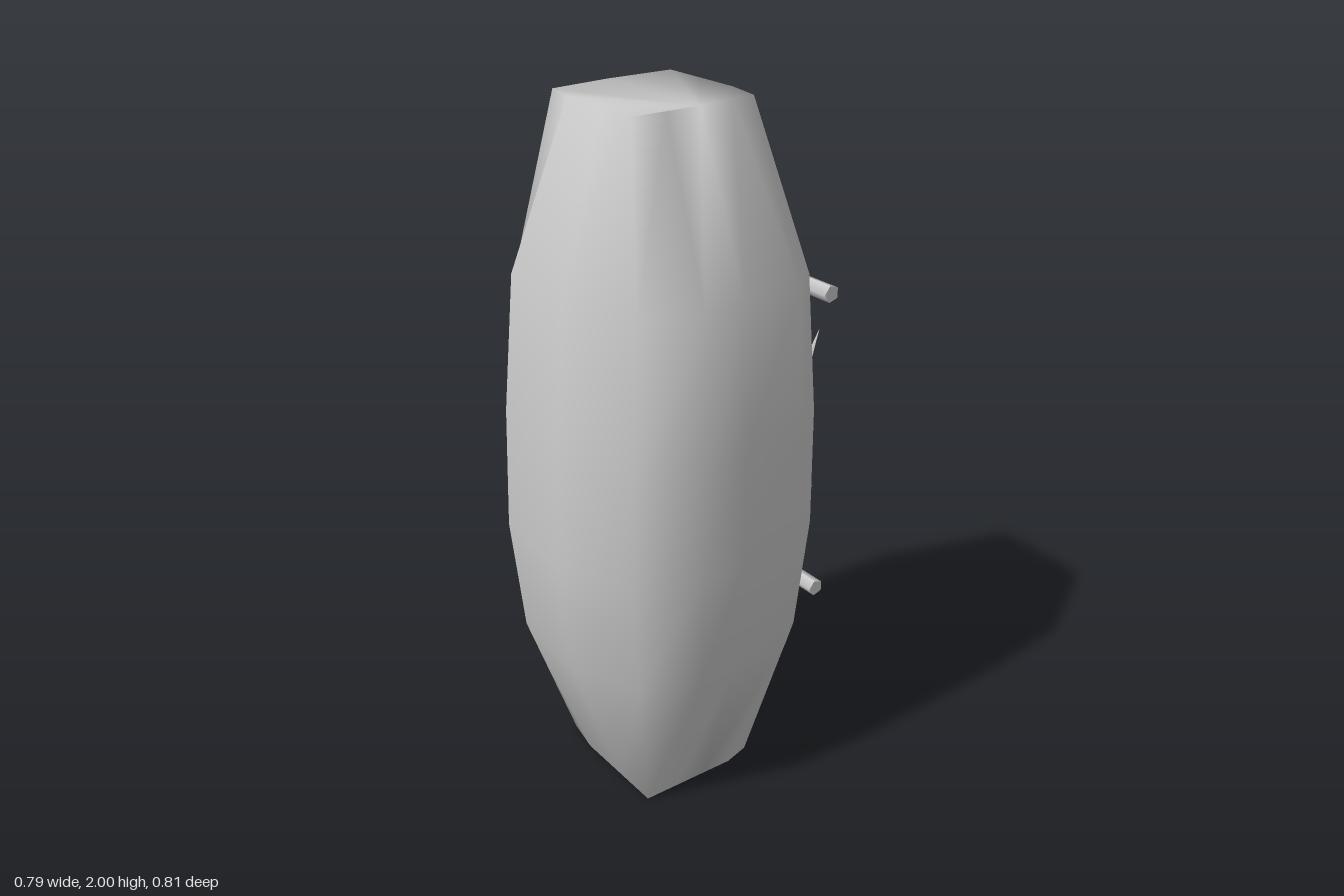
import * as THREE from 'three';

const material = new THREE.MeshStandardMaterial({ color: 0xcccccc, roughness: 0.8 });

function geometryFrom(points, faces) {
  const g = new THREE.BufferGeometry();
  g.setAttribute('position', new THREE.Float32BufferAttribute(points.flat(), 3));
  g.setIndex(faces.flat());
  g.computeVertexNormals();
  return g;
}

function addMesh(parent, name, geometry) {
  const mesh = new THREE.Mesh(geometry, material);
  mesh.name = name;
  parent.add(mesh);
  return mesh;
}

// Barrel-shaped body: irregular rounded belly blending into squarish ends
function bodyGeometry() {
  const belly = [
    [0.39, 0], [0.395, 0.14], [0.325, 0.315], [0.1, 0.405], [-0.19, 0.39], [-0.365, 0.255],
    [-0.4, -0.1], [-0.35, -0.25], [-0.19, -0.37], [0.08, -0.39], [0.3, -0.315], [0.38, -0.21],
  ];
  const end = [
    [0.2, 0], [0.2, 0.1], [0.2, 0.2], [0.07, 0.2], [-0.08, 0.2], [-0.18, 0.18],
    [-0.2, 0], [-0.2, -0.2], [-0.07, -0.2], [0.07, -0.2], [0.18, -0.18], [0.2, -0.1],
  ];
  // Height, outline, x scale, z scale, x shift, z shift
  const levels = [
    [0, end, 1.1, 1, 0, 0],
    [0.46, belly, 0.93, 0.91, 0, 0],
    [0.8, belly, 0.99, 1, 0, 0],
    [1.15, belly, 0.995, 0.975, 0, 0],
    [1.54, belly, 0.93, 0.9, 0, 0],
    [2, end, 1, 1.02, -0.01, 0.015],
  ];
  const n = belly.length;
  const points = [];
  const faces = [];
  for (const [y, ring, sx, sz, dx, dz] of levels) {
    for (const [x, z] of ring) points.push([x * sx + dx, y, z * sz + dz]);
  }
  for (let j = 0; j < levels.length - 1; j++) {
    for (let i = 0; i < n; i++) {
      const a = j * n + i;
      const b = j * n + (i + 1) % n;
      faces.push([a, a + n, b], [b, a + n, b + n]);
    }
  }
  // End caps
  const top = (levels.length - 1) * n;
  for (let i = 1; i < n - 1; i++) {
    faces.push([0, i, i + 1], [top, top + i + 1, top + i]);
  }
  return geometryFrom(points, faces);
}

// Slim bent fin: a triangular elbow tapering to a point at each end
function finGeometry() {
  const points = [
    [0.12, 1.1, -0.36], [0.12, 1.1, -0.41], [0.165, 1.1, -0.375],
    [0.23, 1.35, -0.375], [0.23, 0.85, -0.38],
  ];
  const faces = [];
  for (let i = 0; i < 3; i++) {
    const k = (i + 1) % 3;
    faces.push([i, 3, k], [i, k, 4]);
  }
  return geometryFrom(points, faces);
}

export function createModel() {
  const model = new THREE.Group();
  model.name = 'barrel';
  addMesh(model, 'body', bodyGeometry());

  // Two horizontal bars across the back
  for (const [name, y] of [['upperBar', 1.465], ['lowerBar', 0.55]]) {
    const bar = new THREE.CylinderGeometry(0.025, 0.025, 0.555, 5);
    bar.rotateZ(Math.PI / 2);
    addMesh(model, name, bar).position.set(0.002, y, -0.368);
  }

  // Mirrored pair of fins between the bars, elbows facing each other
  const fin = finGeometry();
  addMesh(model, 'leftFin', fin);
  addMesh(model, 'rightFin', fin).scale.x = -1;
  return model;
}
